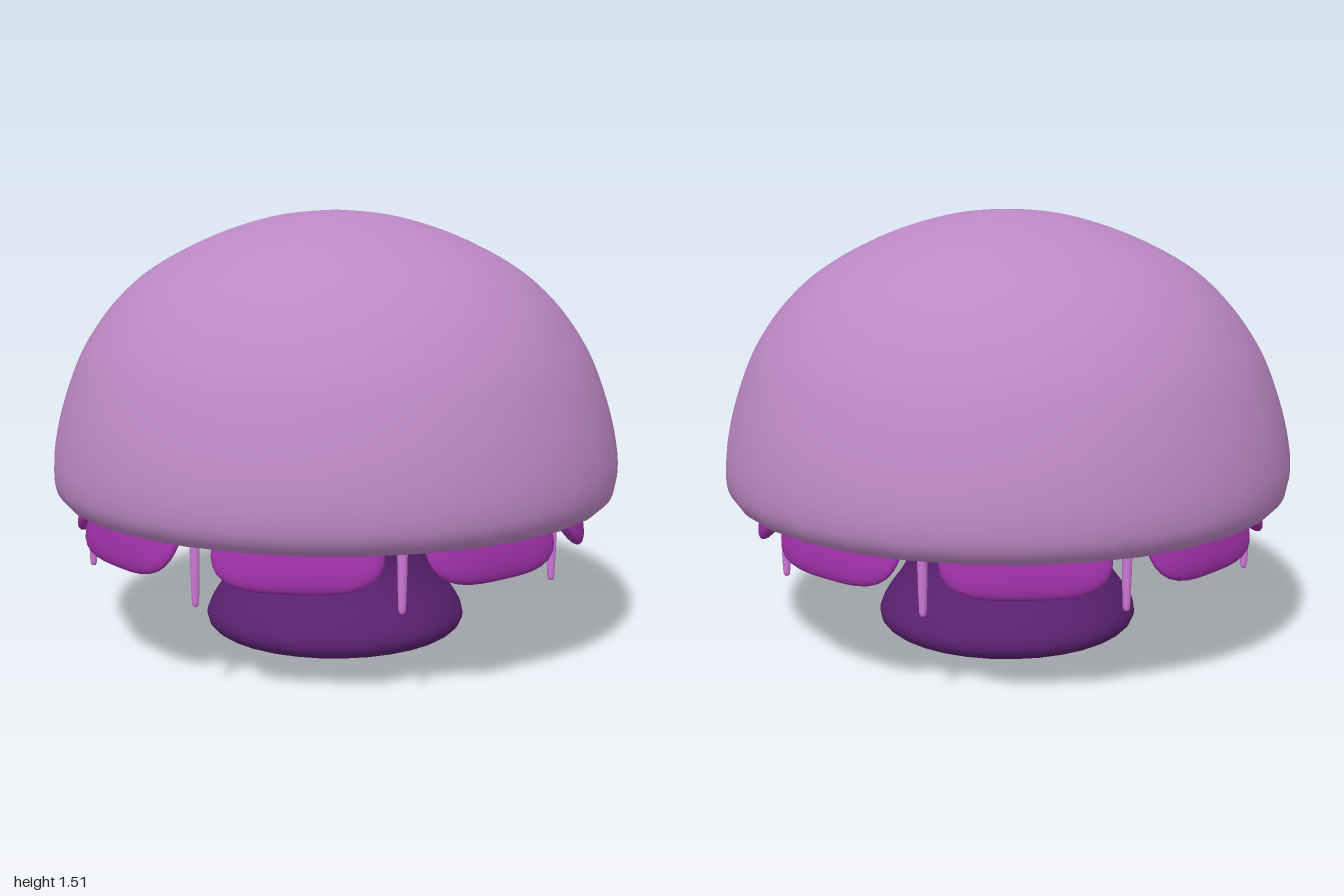
import * as THREE from 'three';

const mat = (name, color) => Object.assign(new THREE.MeshStandardMaterial({ color }), { name });

// Smooth lathe through a few [radius, height] points
function turned(points, steps, sides) {
  const curve = new THREE.SplineCurve(points.map(([x, y]) => new THREE.Vector2(x, y)));
  const profile = curve.getPoints(steps).map((p) => new THREE.Vector2(Math.max(0, p.x), p.y));
  return new THREE.LatheGeometry(profile, sides);
}

// Rounded lobe: squarish lens below, nearly flat on top
function lobeGeometry(halfWidth, depth, halfThickness) {
  const geo = new THREE.SphereGeometry(1, 32, 20);
  const pos = geo.attributes.position;
  const n = 3.2;
  for (let i = 0; i < pos.count; i++) {
    const x = pos.getX(i), y = pos.getY(i);
    const norm = Math.pow(Math.abs(x) ** n + Math.abs(y) ** n, 1 / n);
    const k = norm > 1e-6 ? Math.hypot(x, y) / norm : 1;
    pos.setXYZ(i, x * k * halfWidth, y * k * (y > 0 ? 0.02 : depth), pos.getZ(i) * halfThickness);
  }
  geo.computeVertexNormals();
  return geo;
}

export function createModel() {
  const model = new THREE.Group();
  const lilac = mat('lilac', 0xbd88c5);
  const magenta = mat('magenta', 0x9c2fa5);
  const darkPurple = mat('dark purple', 0x5b2171);
  const pink = mat('pink', 0xcf78d6);

  const add = (name, geo, material, parent = model) => {
    const mesh = new THREE.Mesh(geo, material);
    mesh.name = name;
    parent.add(mesh);
    return mesh;
  };

  // Domed cap: flared inner column, deep hollow underside, rim, then the outer dome
  const cap = add('cap', turned([
    [0.355, 0.6], [0.42, 0.75], [0.47, 0.92], [0.54, 1.05], [0.62, 1.09], [0.71, 1.03],
    [0.8, 0.87], [0.85, 0.69], [0.862, 0.55], [0.89, 0.503], [0.95, 0.51], [0.987, 0.55],
    [1, 0.61], [0.994, 0.7], [0.965, 0.83], [0.91, 0.985], [0.85, 1.095], [0.77, 1.2],
    [0.66, 1.3], [0.52, 1.382], [0.36, 1.45], [0.18, 1.498], [0, 1.514],
  ], 110, 32), lilac);
  cap.scale.z = 0.988;

  // Stem with a wide foot and a flared top
  add('stem', turned([
    [0, 0], [0.2, 0.002], [0.38, 0.012], [0.445, 0.035], [0.463, 0.08], [0.435, 0.14],
    [0.385, 0.21], [0.345, 0.29], [0.332, 0.37], [0.34, 0.5], [0.368, 0.62],
  ], 50, 32), darkPurple);

  // Eight lobes splayed out under the rim, with a tendril hanging in each gap
  const lobes = new THREE.Group();
  lobes.name = 'lobes';
  lobes.position.set(-0.005, 0, 0.015);
  const tendrils = new THREE.Group();
  tendrils.name = 'tendrils';
  tendrils.position.set(-0.01, 0, 0.017);
  model.add(lobes, tendrils);

  const lobeGeo = lobeGeometry(0.272, 0.158, 0.05);
  const tendrilGeo = turned([
    [0, 0.298], [0.01, 0.303], [0.013, 0.34], [0.016, 0.45], [0.017, 0.56],
  ], 12, 10);
  for (let i = 0; i < 8; i++) {
    const a = (i * Math.PI) / 4;
    const b = a + Math.PI / 8;
    const lobe = add('lobe', lobeGeo, magenta, lobes);
    lobe.position.set(Math.sin(b) * 0.81, 0.515, Math.cos(b) * 0.81);
    lobe.rotation.set(-0.48, b, 0, 'YXZ');
    const r = i === 5 ? 0.83 : 0.85;
    add('tendril', tendrilGeo, pink, tendrils).position.set(Math.sin(a) * r, 0, Math.cos(a) * r);
  }
  return model;
}
